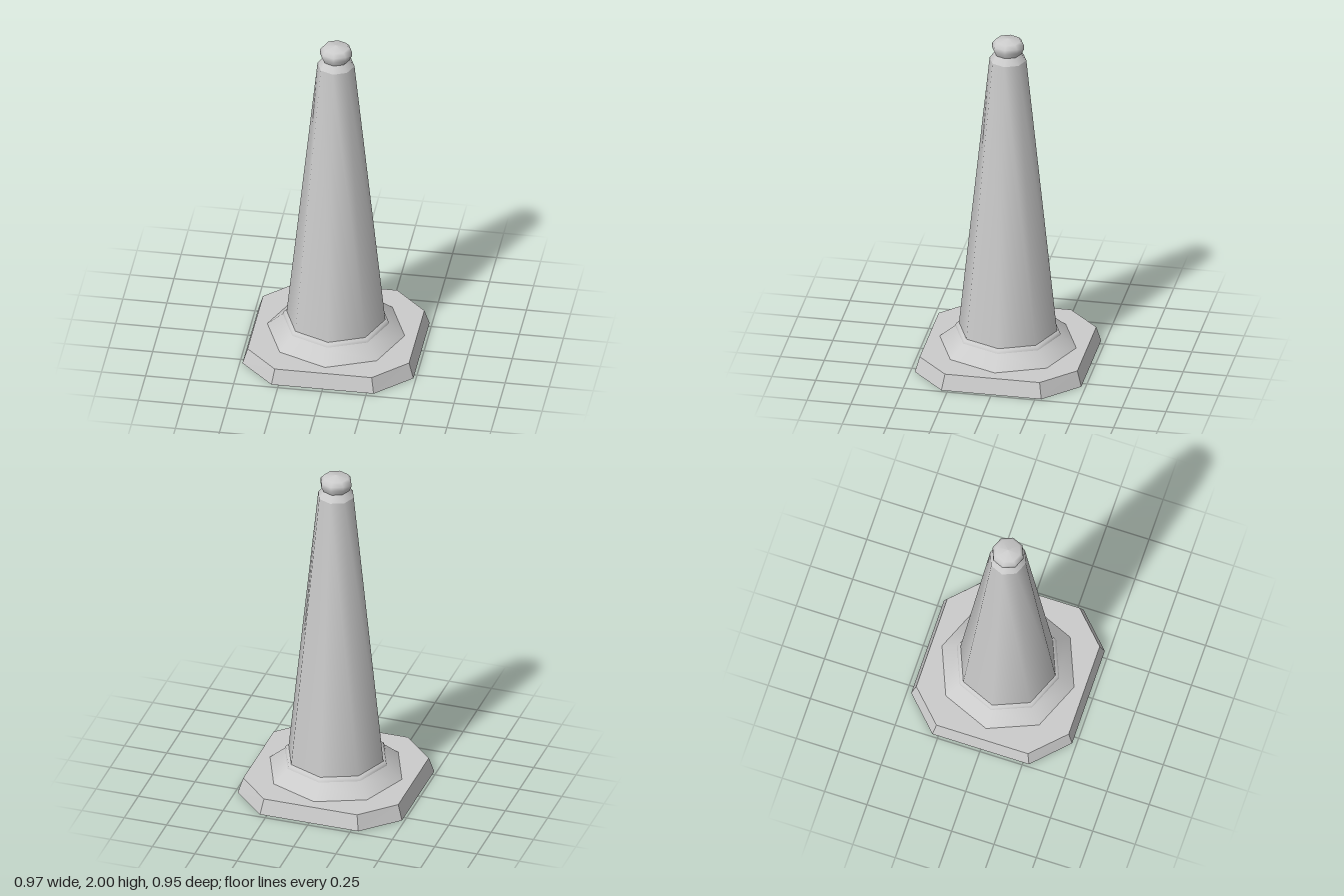
import * as THREE from 'three';

const material = new THREE.MeshStandardMaterial({ color: 0xcccccc });
const flatMaterial = new THREE.MeshStandardMaterial({ color: 0xcccccc, flatShading: true });

// Eight-sided turned part, profile given bottom to top as [radius, y]
function turned(name, profile) {
  const points = profile.map(([r, y]) => new THREE.Vector2(r, y));
  const mesh = new THREE.Mesh(new THREE.LatheGeometry(points, 8), material);
  mesh.name = name;
  return mesh;
}

// Corner-cut rectangle at height y, counter-clockwise seen from below
function octagon(x, z, cx, cz, y) {
  return [
    [x, -cz], [x, cz], [cx, z], [-cx, z],
    [-x, cz], [-x, -cz], [-cx, -z], [cx, -z],
  ].map(([px, pz]) => [px, y, pz]);
}

// Tapered base slab lofted between two octagons, with closed ends
function baseSlab() {
  const low = octagon(0.485, 0.475, 0.29, 0.285, 0);
  const high = octagon(0.458, 0.45, 0.275, 0.27, 0.09);
  const n = low.length;
  const index = [];
  for (let i = 0; i < n; i++) {
    const j = (i + 1) % n;
    index.push(i, n + i, j, j, n + i, n + j);
    if (i > 0 && i < n - 1) {
      index.push(0, i, i + 1);
      index.push(n, n + i + 1, n + i);
    }
  }
  const indexed = new THREE.BufferGeometry();
  indexed.setAttribute('position', new THREE.Float32BufferAttribute([...low, ...high].flat(), 3));
  indexed.setIndex(index);
  const geometry = indexed.toNonIndexed();
  geometry.computeVertexNormals();
  const mesh = new THREE.Mesh(geometry, flatMaterial);
  mesh.name = 'base';
  return mesh;
}

export function createModel() {
  const group = new THREE.Group();
  group.name = 'trafficCone';
  group.add(
    baseSlab(),
    // sloping foot and the small step up to the cone
    turned('skirt', [[0.392, 0.088], [0.302, 0.165]]),
    turned('collar', [[0.302, 0.165], [0.296, 0.18], [0.28, 0.187]]),
    // tall tapered body and its shoulder
    turned('body', [[0.28, 0.185], [0.105, 1.87]]),
    turned('shoulder', [[0.105, 1.87], [0.076, 1.91]]),
    // grip on top
    turned('knob', [[0.076, 1.908], [0.092, 1.94], [0.09, 1.965], [0.072, 1.986], [0, 2]]),
  );
  return group;
}
